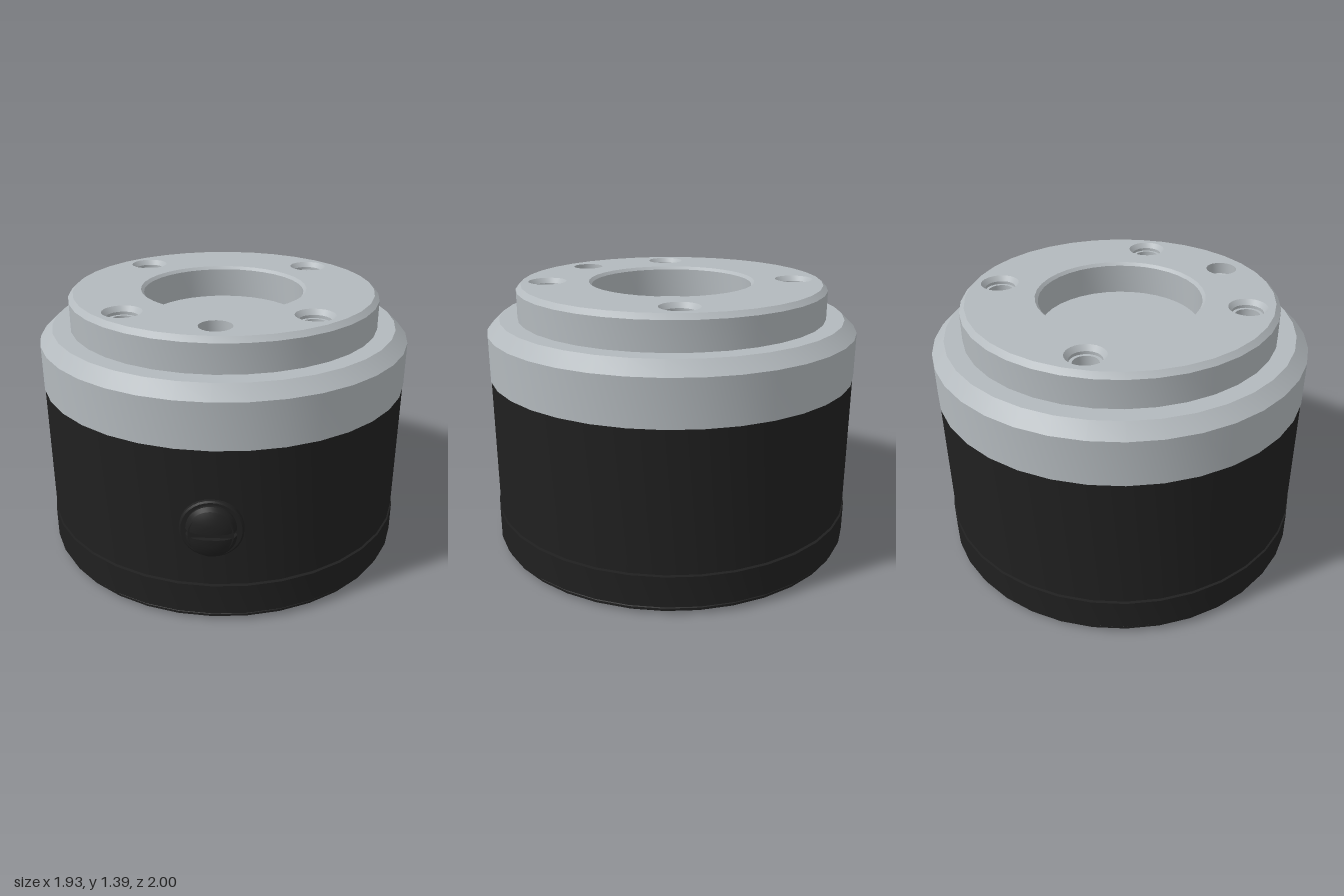
import * as THREE from 'three';
import { toCreasedNormals } from 'three/addons/utils/BufferGeometryUtils.js';

const silver = new THREE.MeshStandardMaterial({ color: 0xb3b9bd });
silver.name = 'silver metal';
const black = new THREE.MeshStandardMaterial({ color: 0x202020 });
black.name = 'black housing';
const blackSheet = black; // shared by the plug's thin faces
blackSheet.side = THREE.DoubleSide;

const points = (list) => list.map(([x, y]) => new THREE.Vector2(x, y));

// Turned part; profiles run upward for outer walls and downward for wells
function turned(name, profile, material, segments = 36, start = 0, length = Math.PI * 2) {
  const geometry = new THREE.LatheGeometry(points(profile), segments, start, length);
  const mesh = new THREE.Mesh(toCreasedNormals(geometry, 0.5), material);
  mesh.name = name;
  return mesh;
}

export function createModel() {
  const model = new THREE.Group();
  model.name = 'cylindricalUnit';
  const body = new THREE.Group();
  body.name = 'body';
  body.position.z = -0.04;
  model.add(body);

  // Black base ring and main housing
  body.add(turned('baseRing', [
    [0, 0], [0.925, 0], [0.935, 0.015], [0.95, 0.018], [0.95, 0.03], [0.94, 0.035],
    [0.94, 0.045], [0.963, 0.045], [0.963, 0.205], [0.945, 0.205], [0.945, 0.215],
  ], black));
  body.add(turned('housing', [[0.945, 0.215], [0.957, 0.215], [0.957, 0.925]], black));

  // Silver collar and raised flange
  body.add(turned('collar', [
    [0.957, 0.925], [0.96, 0.925], [0.96, 1.157], [0.895, 1.22], [0.79, 1.22],
  ], silver));
  body.add(turned('flangeRim', [[0.803, 1.22], [0.803, 1.365], [0.778, 1.39]], silver));

  // Wells cut in the flange: x, z, segments, profile
  const boltProfile = [
    [0.098, 1.39], [0.078, 1.365], [0.078, 1.35], [0.062, 1.35], [0.062, 1.24], [0, 1.24],
  ];
  const wells = [
    ['centreBore', 0, 0, 36, [[0.43, 1.39], [0.415, 1.375], [0.415, 1.22], [0, 1.22]]],
    ['pinHole', 0, 0.64, 24, [[0.08, 1.39], [0.08, 1.33], [0, 1.285]]],
  ];
  for (const x of [-0.455, 0.455]) {
    for (const z of [-0.455, 0.455]) wells.push(['boltHole', x, z, 24, boltProfile]);
  }

  const circle = (x, z, r, n) => Array.from({ length: n }, (_, i) => {
    const a = (i / n) * Math.PI * 2;
    return new THREE.Vector2(x + r * Math.cos(a), -z + r * Math.sin(a));
  });
  const face = new THREE.Shape(circle(0, 0, 0.778, 36));
  for (const [name, x, z, segments, profile] of wells) {
    face.holes.push(new THREE.Path(circle(x, z, profile[0][0], segments)));
    const well = turned(name, profile, silver, segments);
    well.position.set(x, 0, z);
    body.add(well);
  }
  const faceGeometry = new THREE.ShapeGeometry(face).rotateX(-Math.PI / 2);
  const flangeFace = new THREE.Mesh(faceGeometry, silver);
  flangeFace.name = 'flangeFace';
  flangeFace.position.y = 1.39;
  body.add(flangeFace);

  // Slotted plug on the front
  const plug = new THREE.Group();
  plug.name = 'frontPlug';
  plug.position.y = 0.53;
  model.add(plug);
  const collar = turned('plugCollar', [
    [0.15, 0.88], [0.15, 0.928], [0.142, 0.934], [0, 0.934],
  ], black, 32);
  const core = turned('plugSlotFloor', [[0.105, 0.92], [0.105, 0.978], [0, 0.978]], black, 32);
  for (const part of [collar, core]) {
    part.rotation.x = Math.PI / 2;
    plug.add(part);
  }
  // Two domed halves with the slot between them
  const dome = [[0.115, 0.92], [0.118, 0.95], [0.105, 0.973], [0.075, 0.99], [0.04, 0.998], [0, 1]];
  for (const turn of [0, Math.PI]) {
    const half = new THREE.Group();
    half.name = 'plugHeadHalf';
    half.rotation.z = turn;
    const shell = turned('plugDome', dome, black, 16, -Math.PI / 2, Math.PI);
    const outline = [...dome, ...dome.slice(0, -1).reverse().map(([x, y]) => [-x, y])];
    const wall = new THREE.Mesh(new THREE.ShapeGeometry(new THREE.Shape(points(outline))), blackSheet);
    wall.name = 'plugSlotWall';
    for (const part of [shell, wall]) {
      part.rotation.x = Math.PI / 2;
      part.position.y = -0.014;
      half.add(part);
    }
    plug.add(half);
  }
  return model;
}
